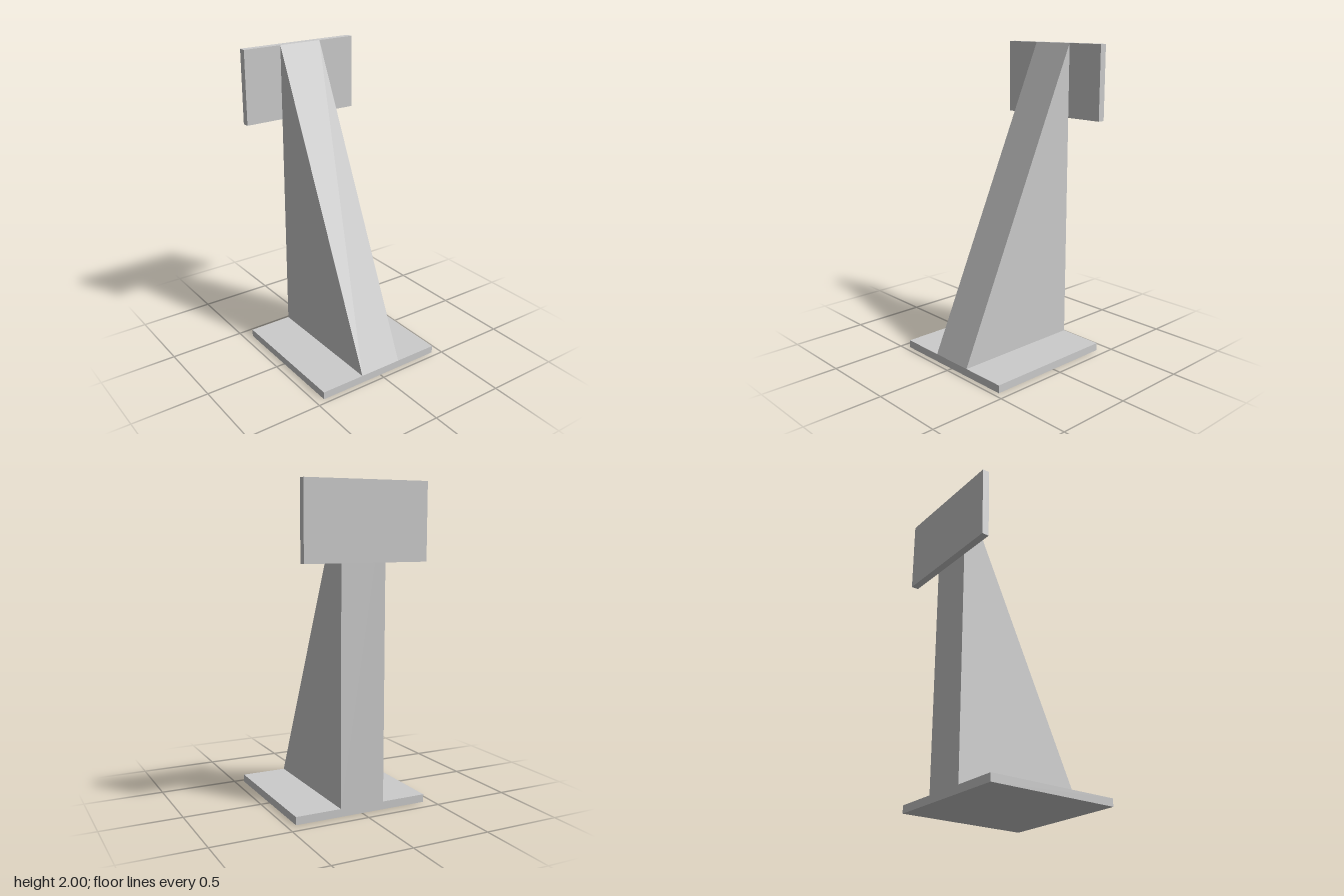
import * as THREE from 'three';

export function createModel() {
  const group = new THREE.Group();
  const material = new THREE.MeshStandardMaterial({ color: 0xcccccc, flatShading: true });
  const back = -0.418, front = 0.465, baseTop = 0.05;

  const add = (name, geometry) => {
    const mesh = new THREE.Mesh(geometry, material);
    mesh.name = name;
    group.add(mesh);
  };

  // Box given by its half width and its y and z limits
  const slab = (halfWidth, y0, y1, z0, z1) =>
    new THREE.BoxGeometry(halfWidth * 2, y1 - y0, z1 - z0)
      .translate(0, (y0 + y1) / 2, (z0 + z1) / 2);

  // Flat foot plate and upright plate behind the top of the wedge
  add('basePlate', slab(0.442, 0, baseTop, back, front));
  add('backPlate', slab(0.404, 1.525, 2, -0.465, back));

  // Triangular support: side profile drawn in (z, y), extruded across x
  const profile = new THREE.Shape([
    new THREE.Vector2(back, baseTop),
    new THREE.Vector2(front, baseTop),
    new THREE.Vector2(back, 2),
  ]);
  const width = 0.293;
  add('wedgeSupport', new THREE.ExtrudeGeometry(profile, { depth: width, bevelEnabled: false })
    .rotateY(-Math.PI / 2)
    .translate(width / 2, 0, 0));

  return group;
}
